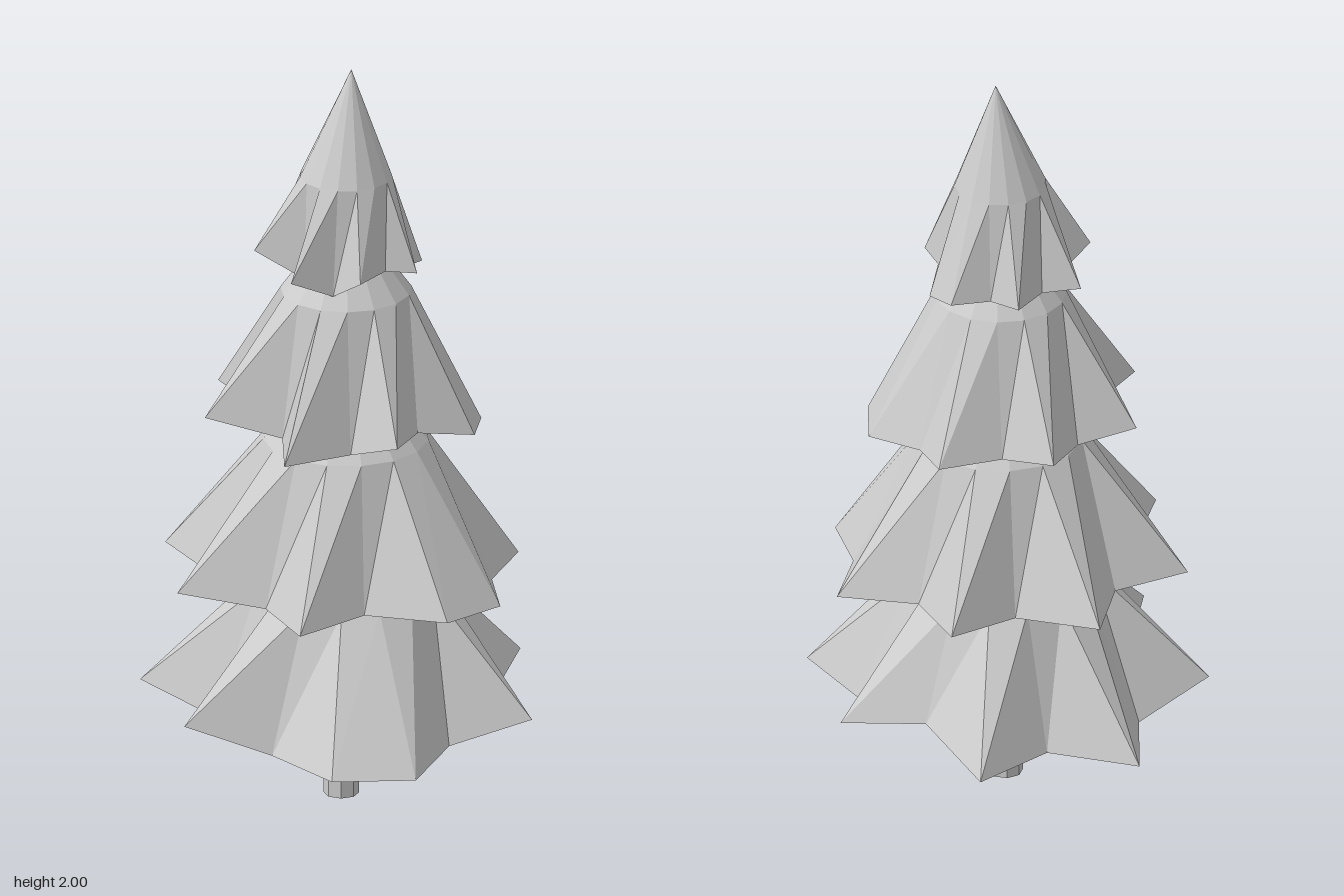
import * as THREE from 'three';

const bark = new THREE.MeshStandardMaterial({ color: 0xcccccc, flatShading: true });
bark.name = 'light grey';

// One closed skirt of branches: a ragged star rim, an even shoulder ring and a crown ring or apex,
// with a shallow hollow fan underneath. The rim runs from +x towards +z as x, y, z triples.
function makeTier(name, rim, shoulder, crown, hollowY) {
  const pos = [];
  const tri = (a, b, c) => pos.push(...a, ...b, ...c);
  const quad = (a, b, c, d) => { tri(a, b, c); tri(a, c, d); };
  const n = rim.length / 3;
  const step = Math.PI * 2 / n;
  const low = [], mid = [], top = [];
  for (let i = 0; i < n; i++) low.push(rim.slice(i * 3, i * 3 + 3));

  // Turn the even rings to the mean direction of the rim
  let s = 0, c = 0;
  low.forEach(([x, , z], i) => {
    const a = Math.atan2(z, x) - i * step;
    s += Math.sin(a);
    c += Math.cos(a);
  });
  const start = Math.atan2(s, c);
  const cx = crown.x ?? 0;
  for (let i = 0; i < n; i++) {
    const a = start + i * step;
    mid.push([Math.cos(a) * shoulder.r, shoulder.y, Math.sin(a) * shoulder.r]);
    top.push([cx + Math.cos(a) * crown.r, crown.y, Math.sin(a) * crown.r]);
  }

  const under = [0, hollowY, 0];
  const cap = [cx, crown.y, 0];
  for (let i = 0; i < n; i++) {
    const j = (i + 1) % n;
    quad(low[j], low[i], mid[i], mid[j]);
    if (crown.r > 0) {
      quad(mid[j], mid[i], top[i], top[j]);
      tri(top[j], top[i], cap);
    } else {
      tri(mid[j], mid[i], cap);
    }
    tri(low[i], low[j], under);
  }
  const geo = new THREE.BufferGeometry();
  geo.setAttribute('position', new THREE.Float32BufferAttribute(pos, 3));
  geo.computeVertexNormals();
  const mesh = new THREE.Mesh(geo, bark);
  mesh.name = name;
  return mesh;
}

export function createModel() {
  const tree = new THREE.Group();
  tree.name = 'pineTree';

  // Trunk
  const trunk = new THREE.Mesh(new THREE.CylinderGeometry(0.046, 0.046, 0.4, 8), bark);
  trunk.name = 'trunk';
  trunk.position.set(-0.013, 0.2, 0);
  trunk.rotation.y = Math.PI / 8;
  tree.add(trunk);

  // Lowest, widest branches
  tree.add(makeTier('lowestBranches', [
    0.355, 0.25, 0.12,  0.38, 0.27, 0.345,  0.15, 0.23, 0.345,  -0.01, 0.22, 0.515,
    -0.225, 0.23, 0.47, -0.3, 0.23, 0.24,   -0.51, 0.31, 0.155, -0.345, 0.24, -0.04,
    -0.465, 0.28, -0.27, -0.23, 0.23, -0.32, -0.12, 0.22, -0.52, 0.07, 0.24, -0.37,
    0.3, 0.24, -0.43,   0.33, 0.31, -0.195, 0.51, 0.3, -0.065,
  ], { y: 0.585, r: 0.24 }, { y: 0.66, r: 0.17 }, 0.27));

  // Lower middle branches
  tree.add(makeTier('lowerMiddleBranches', [
    0.465, 0.61, 0.035, 0.33, 0.61, 0.19,   0.28, 0.61, 0.375,  0.1, 0.62, 0.46,
    -0.08, 0.62, 0.33,  -0.28, 0.61, 0.385, -0.29, 0.61, 0.17,  -0.49, 0.64, 0.055,
    -0.34, 0.62, -0.1,  -0.375, 0.63, -0.32, -0.16, 0.63, -0.32, -0.02, 0.63, -0.49,
    0.13, 0.62, -0.31,  0.335, 0.63, -0.34, 0.31, 0.62, -0.12,
  ], { y: 0.985, r: 0.215 }, { y: 1.09, r: 0.13 }, 0.65));

  // Upper middle branches
  tree.add(makeTier('upperMiddleBranches', [
    0.34, 1.02, 0.09,   0.27, 1.03, 0.22,   0.11, 1.06, 0.225,  0, 1.08, 0.36,
    -0.08, 1.03, 0.235, -0.27, 1.03, 0.25,  -0.21, 1.04, 0.085, -0.38, 1.08, -0.03,
    -0.21, 1.06, -0.11, -0.24, 1.07, -0.29, -0.08, 1.05, -0.265, 0.05, 1.07, -0.37,
    0.13, 1.05, -0.24,  0.3, 1.05, -0.21,   0.28, 1.04, -0.075,
  ], { y: 1.395, r: 0.17 }, { y: 1.49, r: 0.1 }, 1.08));

  // Pointed treetop
  tree.add(makeTier('treetop', [
    0.213, 1.44, -0.005, 0.135, 1.47, 0.09, 0.13, 1.48, 0.17,   0.05, 1.49, 0.15,
    -0.045, 1.49, 0.215, -0.085, 1.43, 0.125, -0.2, 1.48, 0.12, -0.127, 1.45, 0.03,
    -0.23, 1.51, -0.063, -0.115, 1.46, -0.1, -0.12, 1.47, -0.21, -0.03, 1.46, -0.165,
    0.07, 1.46, -0.22,  0.1, 1.45, -0.125,  0.2, 1.45, -0.095,
  ], { y: 1.71, r: 0.12 }, { x: 0.015, y: 2, r: 0 }, 1.5));

  return tree;
}
